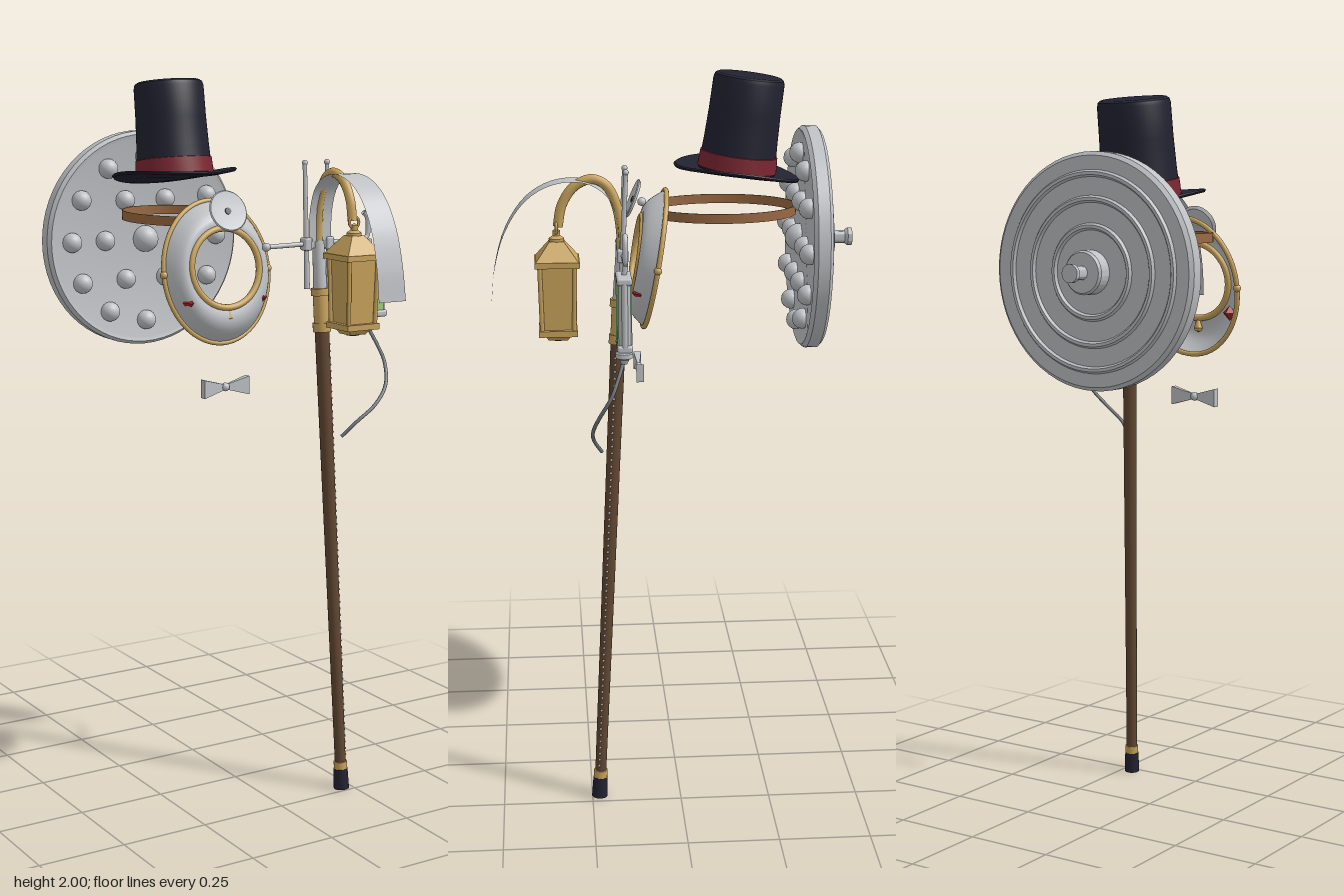
import * as THREE from 'three';
import { toCreasedNormals } from 'three/addons/utils/BufferGeometryUtils.js';
import { RoundedBoxGeometry } from 'three/addons/geometries/RoundedBoxGeometry.js';
import { ParametricGeometry } from 'three/addons/geometries/ParametricGeometry.js';

const V = (x, y, z) => new THREE.Vector3(x, y, z);
const mat = (name, color, extra = {}) => {
  const m = new THREE.MeshStandardMaterial({ color, ...extra });
  m.name = name;
  return m;
};

export function createModel() {
  const root = new THREE.Group();
  root.name = 'doctorAccessories';
  const both = { side: THREE.DoubleSide };
  const M = {
    grey: mat('paleGrey', 0xbfc2c5, both),
    navy: mat('midnightFelt', 0x222231, both),
    red: mat('bandRed', 0x7c2632),
    gem: mat('gemRed', 0xa81f2c),
    gold: mat('brassGold', 0xc9a45c),
    wood: mat('darkWood', 0x614732),
    strap: mat('leatherStrap', 0x9a6943, both),
    green: mat('fluidGreen', 0x9ccf80),
    dark: mat('darkGrey', 0x3a3b40),
    tube: mat('tubeGrey', 0x777b80),
  };

  // Helpers
  const add = (parent, name, geo, m, p = [0, 0, 0], r = [0, 0, 0]) => {
    const mesh = new THREE.Mesh(geo, m);
    mesh.name = name;
    mesh.position.set(...p);
    mesh.rotation.set(...r);
    parent.add(mesh);
    return mesh;
  };
  const group = (name, p = [0, 0, 0]) => {
    const g = new THREE.Group();
    g.name = name;
    g.position.set(...p);
    root.add(g);
    return g;
  };
  const lathe = (pts, seg = 48) =>
    toCreasedNormals(new THREE.LatheGeometry(pts.map(([x, y]) => new THREE.Vector2(x, y)), seg), 0.6);
  const box = (w, h, d) => new THREE.BoxGeometry(w, h, d);
  const ball = (r, s = 20) => new THREE.SphereGeometry(r, s, Math.ceil(s * 0.6));
  const curve = (pts, closed = false) => new THREE.CatmullRomCurve3(pts.map(p => V(...p)), closed);
  const pipe = (parent, name, pts, r, m, closed = false, seg = 48) =>
    add(parent, name, new THREE.TubeGeometry(curve(pts, closed), seg, r, 10, closed), m);
  const rod = (parent, name, a, b, r0, r1, m, seg = 16) => {
    const A = V(...a), d = V(...b).sub(A);
    const mesh = add(parent, name, new THREE.CylinderGeometry(r1, r0, d.length(), seg), m);
    mesh.position.copy(A).addScaledVector(d, 0.5);
    mesh.quaternion.setFromUnitVectors(V(0, 1, 0), d.normalize());
    return mesh;
  };
  const CX = -0.09;

  // Large round lamp: ridged back, stem and rings of bulbs
  const lamp = group('roundLamp', [CX, 1.545, 0]);
  const back = [[0, -0.5], [0.024, -0.5], [0.024, -0.488], [0.018, -0.48], [0.018, -0.447],
    [0.052, -0.447], [0.057, -0.44], [0.057, -0.405]];
  for (const r of [0.12, 0.19, 0.255]) {
    back.push([r - 0.012, -0.405], [r - 0.007, -0.412], [r + 0.001, -0.412], [r + 0.006, -0.405]);
  }
  add(lamp, 'lampHousing', lathe([...back, [0.297, -0.405], [0.307, -0.396], [0.307, -0.364],
    [0.298, -0.353], [0.285, -0.357], [0, -0.357]], 64), M.grey, [0, 0, 0], [Math.PI / 2, 0, 0]);
  for (const [n, r] of [[12, 0.235], [6, 0.13]]) {
    for (let i = 0; i < n; i++) {
      const a = (i / n) * Math.PI * 2;
      add(lamp, 'bulb', ball(0.028), M.grey, [r * Math.cos(a), r * Math.sin(a), -0.35]);
    }
  }
  add(lamp, 'centreBulb', ball(0.038), M.grey, [0, 0, -0.352]);

  // Top hat, tipped back
  const hat = group('topHat', [CX, 1.733, -0.177]);
  hat.rotation.x = -0.13;
  const brim = lathe([[0, -0.004], [0.12, -0.004], [0.17, -0.002], [0.174, 0.003], [0.17, 0.007],
    [0.12, 0.004], [0.1, 0.006]]);
  const bp = brim.attributes.position;
  for (let i = 0; i < bp.count; i++) bp.setY(i, bp.getY(i) + 0.6 * bp.getX(i) ** 2 - 0.006);
  add(hat, 'brim', brim, M.navy);
  add(hat, 'crown', lathe([[0.106, 0], [0.101, 0.08], [0.098, 0.16], [0.097, 0.245], [0.094, 0.256],
    [0.086, 0.261], [0, 0.261]]), M.navy);
  add(hat, 'hatBand', lathe([[0.107, 0.003], [0.109, 0.006], [0.106, 0.048], [0.1, 0.05]]), M.red);

  // Face mask: flared shell between an oval rim and a round opening
  const mask = group('mask');
  const rim = a => V(CX + 0.163 * Math.cos(a), 1.49 + 0.19 * Math.sin(a), 0.05 - 0.033 * Math.sin(a));
  const hole = a => V(CX + 0.105 * Math.cos(a), 1.505 + 0.105 * Math.sin(a), 0.098 - 0.016 * Math.sin(a));
  const shell = (u, v, t) => {
    const a = u * Math.PI * 2;
    t.lerpVectors(rim(a), hole(a), v);
    t.z += 0.022 * Math.sin(v * Math.PI);
  };
  add(mask, 'maskShell', new ParametricGeometry(shell, 56, 8), M.grey);
  const loop = f => Array.from({ length: 24 }, (_, i) => f((i / 24) * Math.PI * 2).toArray());
  pipe(mask, 'outerRim', loop(rim), 0.007, M.gold, true, 72);
  pipe(mask, 'openingRim', loop(hole), 0.009, M.gold, true, 72);
  for (const s of [-1, 1]) {
    add(mask, 'cheekGem', new THREE.OctahedronGeometry(0.021), M.gem, [CX + s * 0.112, 1.418, 0.096]);
    add(mask, 'sideStud', ball(0.011), M.gold, [CX + s * 0.163, 1.49, 0.05]);
  }
  add(mask, 'goldTear', lathe([[0, -0.018], [0.009, -0.014], [0.012, -0.006], [0.007, 0.01], [0, 0.03]], 16),
    M.gold, [CX, 1.378, 0.112]);

  // Headband with round mirror
  const band = group('headMirror');
  const strapGeo = toCreasedNormals(new THREE.LatheGeometry([[0.985, -0.013], [1, -0.013], [1, 0.013], [0.985, 0.013],
    [0.985, -0.013]].map(p => new THREE.Vector2(...p)), 64), 0.6);
  add(band, 'headStrap', strapGeo, M.strap, [CX, 1.628, -0.135]).scale.set(0.155, 1, 0.207);
  const tilt = [Math.PI / 2 - 0.38, 0, 0];
  add(band, 'mirror', lathe([[0, -0.006], [0.05, -0.003], [0.057, 0.004], [0.054, 0.007], [0.01, 0.002],
    [0, 0.002]], 40), M.grey, [CX, 1.657, 0.107], tilt);
  add(band, 'mirrorEye', new THREE.CylinderGeometry(0.009, 0.009, 0.004, 16), M.dark, [CX, 1.658, 0.11], tilt);
  add(band, 'mirrorJoint', ball(0.012), M.grey, [CX, 1.65, 0.084]);

  // Bow tie
  const bow = group('bowTie', [CX, 1.18, 0.095]);
  for (const s of [-1, 1]) {
    const wing = new THREE.CylinderGeometry(0.03, 0.01, 0.063, 4, 1);
    wing.rotateY(Math.PI / 4);
    add(bow, 'bowWing', toCreasedNormals(wing, 0.5), M.grey, [s * 0.039, 0, 0],
      [0, 0, -s * Math.PI / 2]).scale.set(1.2, 1, 0.5);
  }
  add(bow, 'bowKnot', ball(0.012, 14), M.grey);

  // Walking cane, leaning back and to one side
  const cane = group('cane');
  const at = y => [0.217 - 0.029 * y, y, 0.23 - 0.05 * y];
  const part = (name, y0, y1, r0, r1, m) => rod(cane, name, at(y0), at(y1), r0, r1, m, 20);
  part('rubberTip', 0.001, 0.06, 0.022, 0.02, M.navy);
  part('ferrule', 0.058, 0.082, 0.019, 0.019, M.gold);
  part('shaft', 0.08, 1.34, 0.0155, 0.02, M.wood);
  part('lowerCollar', 1.32, 1.345, 0.025, 0.025, M.gold);
  part('collar', 1.345, 1.42, 0.021, 0.021, M.gold);
  part('upperCollar', 1.42, 1.44, 0.026, 0.026, M.gold);
  part('grip', 1.44, 1.57, 0.019, 0.016, M.grey);
  for (let i = 0; i < 64; i++) {
    const y = 0.1 + i * 0.0188, p = at(y), r = 0.0155 + 0.0036 * y;
    add(cane, 'shaftStud', ball(0.0035, 6), M.grey, [p[0] + r * 0.95, y, p[2] + r * 0.3]);
  }

  // Twin prongs and cross bar with a hanging hook
  const stand = group('crossBar');
  for (const x of [0.133, 0.205]) {
    rod(stand, 'prong', [x, 1.44, 0.157], [x, 1.78, 0.141], 0.008, 0.006, M.grey, 10);
    add(stand, 'prongTip', ball(0.008, 12), M.grey, [x, 1.78, 0.141]);
    add(stand, 'barClamp', new RoundedBoxGeometry(0.024, 0.035, 0.03, 2, 0.005), M.grey, [x, 1.562, 0.151]);
  }
  rod(stand, 'bar', [0.005, 1.56, 0.15], [0.335, 1.565, 0.15], 0.0065, 0.0065, M.grey, 12);
  add(stand, 'barEnd', ball(0.012, 14), M.grey, [0.005, 1.56, 0.15]);
  pipe(stand, 'bagHook', [[0.325, 1.565, 0.15], [0.336, 1.575, 0.15], [0.338, 1.61, 0.15], [0.333, 1.63, 0.15],
    [0.322, 1.64, 0.15]], 0.007, M.grey, false, 20);

  // Fluid bag with drip tube
  const bag = group('fluidBag', [0.343, 1.445, 0.155]);
  add(bag, 'bagBody', new RoundedBoxGeometry(0.088, 0.18, 0.032, 3, 0.01), M.grey);
  for (const s of [-1, 1]) {
    add(bag, 'fluidPanel', box(0.074, 0.155, 0.006), M.green, [0, 0, s * 0.016]);
    add(bag, 'bagEdge', new RoundedBoxGeometry(0.1, 0.02, 0.04, 2, 0.007), M.grey, [0, s * 0.088, 0]);
    add(bag, 'bagSide', new THREE.CylinderGeometry(0.008, 0.008, 0.17, 10), M.grey, [s * 0.043, 0, 0]);
  }
  rod(bag, 'bagHanger', [0, 0.09, 0], [0, 0.12, -0.005], 0.007, 0.007, M.grey, 10);
  add(bag, 'dripChamber', lathe([[0, -0.14], [0.008, -0.137], [0.013, -0.125], [0.023, -0.12], [0.023, -0.108],
    [0.013, -0.1], [0.013, -0.09]], 16), M.grey);
  pipe(root, 'dripTube', [[0.343, 1.31, 0.158], [0.36, 1.27, 0.172], [0.372, 1.225, 0.19], [0.355, 1.165, 0.222],
    [0.31, 1.115, 0.237], [0.25, 1.07, 0.232], [0.215, 1.03, 0.212]], 0.005, M.tube);

  // Curved crook that carries the lantern
  pipe(root, 'lanternCrook', [[0.172, 1.53, 0.153], [0.17, 1.62, 0.153], [0.168, 1.69, 0.165], [0.168, 1.74, 0.19],
    [0.168, 1.758, 0.228], [0.168, 1.738, 0.275], [0.168, 1.69, 0.307], [0.168, 1.635, 0.318]], 0.013, M.gold);

  // Square lantern
  const lantern = group('lantern', [0.171, 0, 0.322]);
  const frustum = (name, w0, w1, y0, y1) => {
    const g = new THREE.CylinderGeometry(w1 * Math.SQRT1_2, w0 * Math.SQRT1_2, y1 - y0, 4);
    g.rotateY(Math.PI / 4);
    add(lantern, name, toCreasedNormals(g, 0.4), M.gold, [0, (y0 + y1) / 2, 0]);
  };
  frustum('lanternFoot', 0.05, 0.07, 1.335, 1.35);
  frustum('lanternBase', 0.102, 0.102, 1.35, 1.366);
  frustum('lanternBody', 0.076, 0.088, 1.366, 1.535);
  frustum('lanternEave', 0.118, 0.118, 1.535, 1.55);
  frustum('lanternRoof', 0.112, 0.038, 1.55, 1.598);
  add(lantern, 'lanternCap', lathe([[0.02, 1.595], [0.02, 1.605], [0.01, 1.612], [0.01, 1.625], [0, 1.63]], 16), M.gold);
  add(lantern, 'lanternRing', new THREE.TorusGeometry(0.015, 0.004, 8, 20), M.gold, [0, 1.632, 0]);
  add(lantern, 'lanternVent', new THREE.CylinderGeometry(0.018, 0.018, 0.004, 20), M.dark, [0, 1.334, 0]);
  for (const sx of [-1, 1]) for (const sz of [-1, 1]) {
    rod(lantern, 'lanternPost', [sx * 0.042, 1.36, sz * 0.042], [sx * 0.046, 1.54, sz * 0.046], 0.006, 0.006, M.gold, 8);
  }

  // Broad flexible strip arching forward over the lantern
  const arc = curve([[0.172, 1.55, 0.158], [0.172, 1.66, 0.165], [0.172, 1.72, 0.192], [0.171, 1.754, 0.25],
    [0.17, 1.75, 0.33], [0.17, 1.71, 0.4], [0.17, 1.63, 0.455], [0.171, 1.53, 0.485], [0.174, 1.44, 0.495]]);
  const strip = (u, v, t) => {
    arc.getPoint(u, t);
    t.x += (v - 0.5) * (0.072 + 0.014 * u * u);
  };
  add(root, 'archedStrip', new ParametricGeometry(strip, 32, 1), M.grey);

  return root;
}
